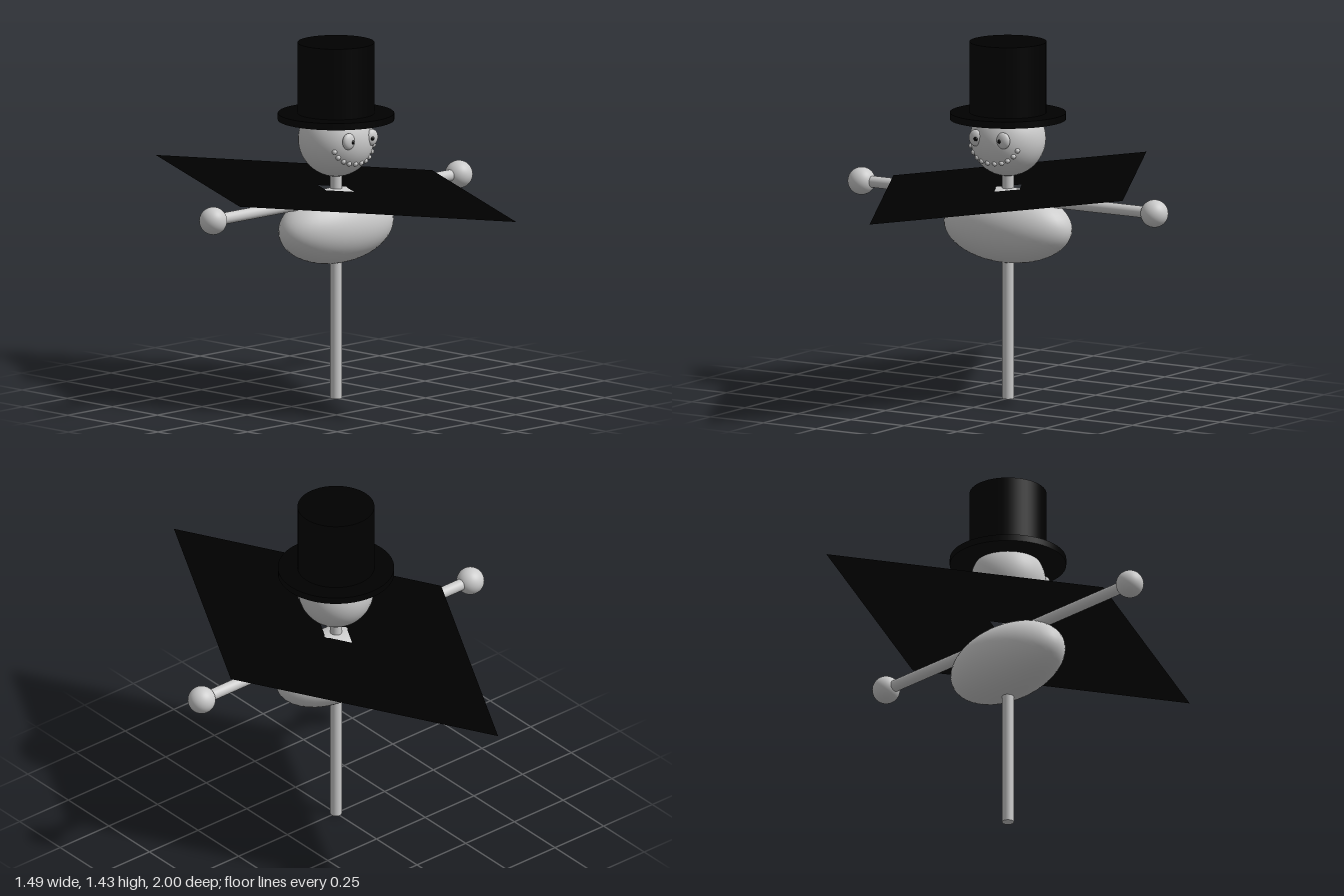
import * as THREE from 'three';

const grey = new THREE.MeshStandardMaterial({ color: 0xcccccc });
const black = new THREE.MeshStandardMaterial({ color: 0x000000 });
const blackSheet = new THREE.MeshStandardMaterial({ color: 0x000000, side: THREE.DoubleSide });

export function createModel() {
  const model = new THREE.Group();
  const add = (name, geometry, material, x, y, z) => {
    const mesh = new THREE.Mesh(geometry, material);
    mesh.name = name;
    mesh.position.set(x, y, z);
    model.add(mesh);
    return mesh;
  };
  const ball = (r) => new THREE.SphereGeometry(r, 40, 28);
  const rod = (r, h) => new THREE.CylinderGeometry(r, r, h, 48);

  // Upright pole running through the body into the head, and the cross arm
  add('pole', rod(0.023, 1), grey, 0, 0.5, 0);
  add('arms', rod(0.023, 1.38), grey, 0, 0.807, 0).rotation.z = Math.PI / 2;

  // Wide ellipsoid body and round head
  add('body', ball(1), grey, 0, 0.695, 0).scale.set(0.287, 0.15, 0.15);
  const headY = 1.043, headR = 0.15;
  add('head', ball(headR), grey, 0, headY, 0);

  // Hands and eyes, mirrored
  for (const side of [-1, 1]) {
    const label = side > 0 ? 'left' : 'right';
    add(label + 'Hand', ball(0.055), grey, side * 0.69, 0.806, 0);
    add(label + 'Eye', ball(1), grey, side * 0.065, 1.057, 0.134).scale.set(0.03, 0.033, 0.017);
    add(label + 'Pupil', ball(0.009), black, side * 0.056, 1.055, 0.146);
  }

  // Smile of small beads set on the head's surface
  const beads = [[0.016, 0.959], [0.046, 0.963], [0.071, 0.974], [0.094, 0.992], [0.109, 1.016]];
  for (const [x, y] of beads) {
    const z = Math.sqrt(headR ** 2 - x ** 2 - (y - headY) ** 2);
    for (const side of [-1, 1]) add('smileBead', ball(0.01), grey, side * x, y, z);
  }

  // Top hat
  add('hatBrim', rod(0.23, 0.027), black, 0, 1.133, 0);
  add('hatCrown', rod(0.152, 0.296), black, 0, 1.282, 0);

  // Flat diamond cape with a small neck opening
  const cape = new THREE.RingGeometry(0.1, 1, 4);
  cape.scale(0.54, 1, 1);
  cape.rotateX(-Math.PI / 2);
  add('cape', cape, blackSheet, 0, 0.842, 0);

  return model;
}
